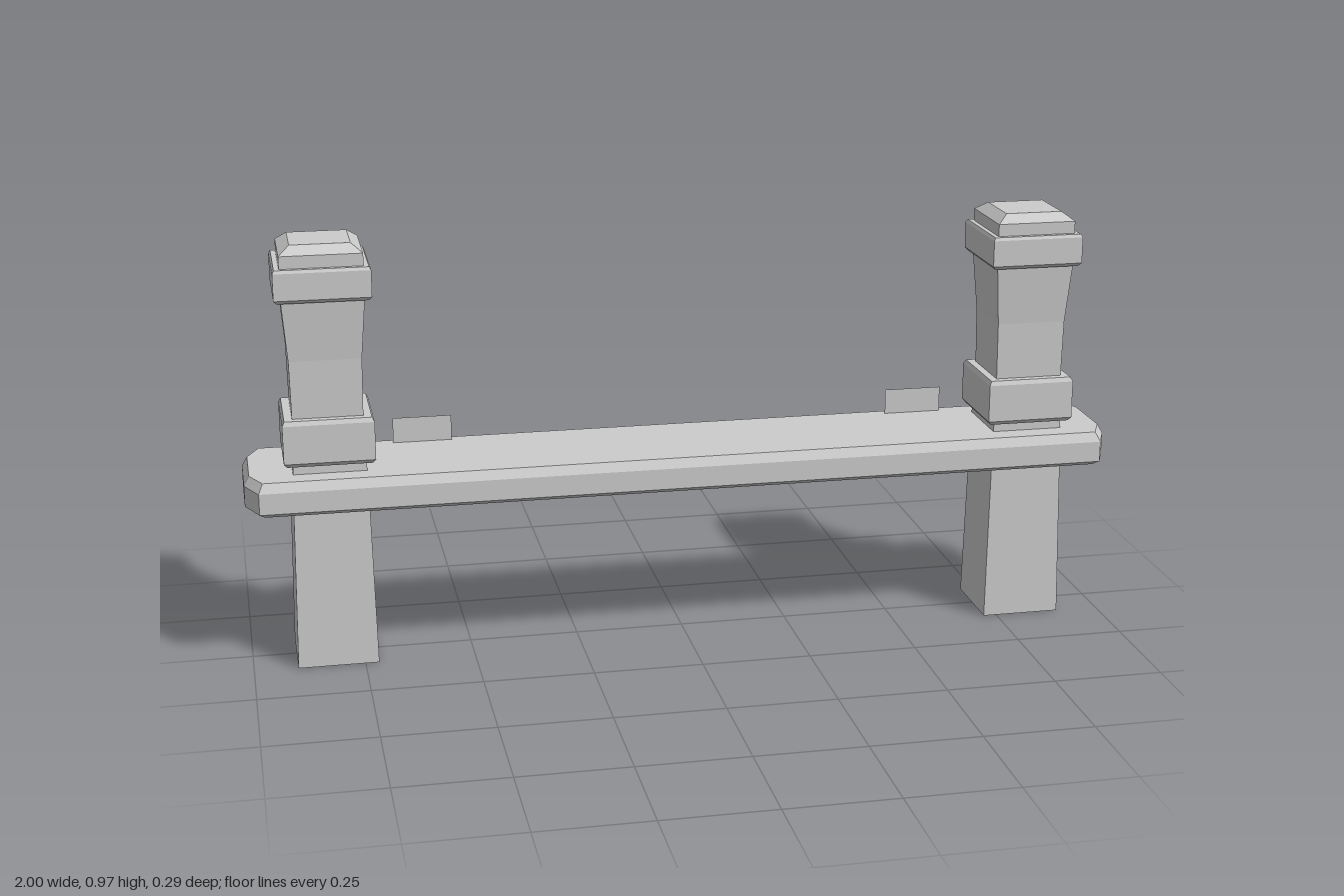
import * as THREE from 'three';

const material = new THREE.MeshStandardMaterial({ color: 0xcccccc, flatShading: true });
const plateMaterial = new THREE.MeshStandardMaterial({ color: 0xcccccc, side: THREE.DoubleSide });

// Square turned part from [half width, y] pairs, listed bottom to top and capped at both ends
function squarePart(name, profile) {
  const closed = [[0, profile[0][1]], ...profile, [0, profile[profile.length - 1][1]]];
  const points = closed.map(([half, y]) => new THREE.Vector2(half * Math.SQRT2, y));
  const mesh = new THREE.Mesh(new THREE.LatheGeometry(points, 4, Math.PI / 4), material);
  mesh.name = name;
  return mesh;
}

function createPost(name) {
  const post = new THREE.Group();
  post.name = name;
  post.add(
    squarePart('leg', [[0.091, 0], [0.084, 0.38], [0.081, 0.49]]),
    squarePart('lowerCollar', [[0.094, 0.478], [0.101, 0.487], [0.101, 0.574], [0.096, 0.584]]),
    squarePart('shaft', [[0.078, 0.575], [0.08, 0.715], [0.091, 0.855]]),
    squarePart('upperCollar', [[0.099, 0.85], [0.106, 0.858], [0.106, 0.918], [0.102, 0.925]]),
    squarePart('cap', [[0.091, 0.92], [0.091, 0.953], [0.066, 0.972]])
  );
  return post;
}

// Long board with clipped ends, lofted through inset outlines to bevel its edges
function createBoard() {
  const levels = [[0.016, 0.377], [0, 0.388], [0, 0.436], [0.012, 0.457]];
  const outline = (inset) => {
    const quarter = [[1 - inset, 0.075 - inset * 0.3], [0.97 - inset * 0.8, 0.143 - inset]];
    const [a, b] = quarter;
    return [a, b, [-b[0], b[1]], [-a[0], a[1]], [-a[0], -a[1]], [-b[0], -b[1]], [b[0], -b[1]], [a[0], -a[1]]];
  };
  const positions = [];
  const index = [];
  const n = 8;
  levels.forEach(([inset, y]) => outline(inset).forEach(([x, z]) => positions.push(x, y, z)));
  for (let k = 0; k < levels.length - 1; k++) {
    for (let i = 0; i < n; i++) {
      const a = k * n + i, b = k * n + (i + 1) % n;
      index.push(a, a + n, b, b, a + n, b + n);
    }
  }
  // Bottom and top faces
  const top = (levels.length - 1) * n;
  for (let i = 1; i < n - 1; i++) {
    index.push(0, i, i + 1);
    index.push(top, top + i + 1, top + i);
  }
  const geometry = new THREE.BufferGeometry();
  geometry.setAttribute('position', new THREE.Float32BufferAttribute(positions, 3));
  geometry.setIndex(index);
  const flat = geometry.toNonIndexed();
  flat.computeVertexNormals();
  const board = new THREE.Mesh(flat, material);
  board.name = 'board';
  return board;
}

export function createModel() {
  const model = new THREE.Group();
  model.name = 'postBench';
  model.add(createBoard());
  for (const [side, sign] of [['left', 1], ['right', -1]]) {
    const post = createPost(side + 'Post');
    post.position.x = sign * 0.81;
    model.add(post);

    // Thin upright tab near the back edge of the board
    const tab = new THREE.Mesh(new THREE.PlaneGeometry(0.135, 0.06), plateMaterial);
    tab.name = side + 'Tab';
    tab.position.set(sign * 0.587, 0.486, -0.11);
    model.add(tab);
  }
  return model;
}
